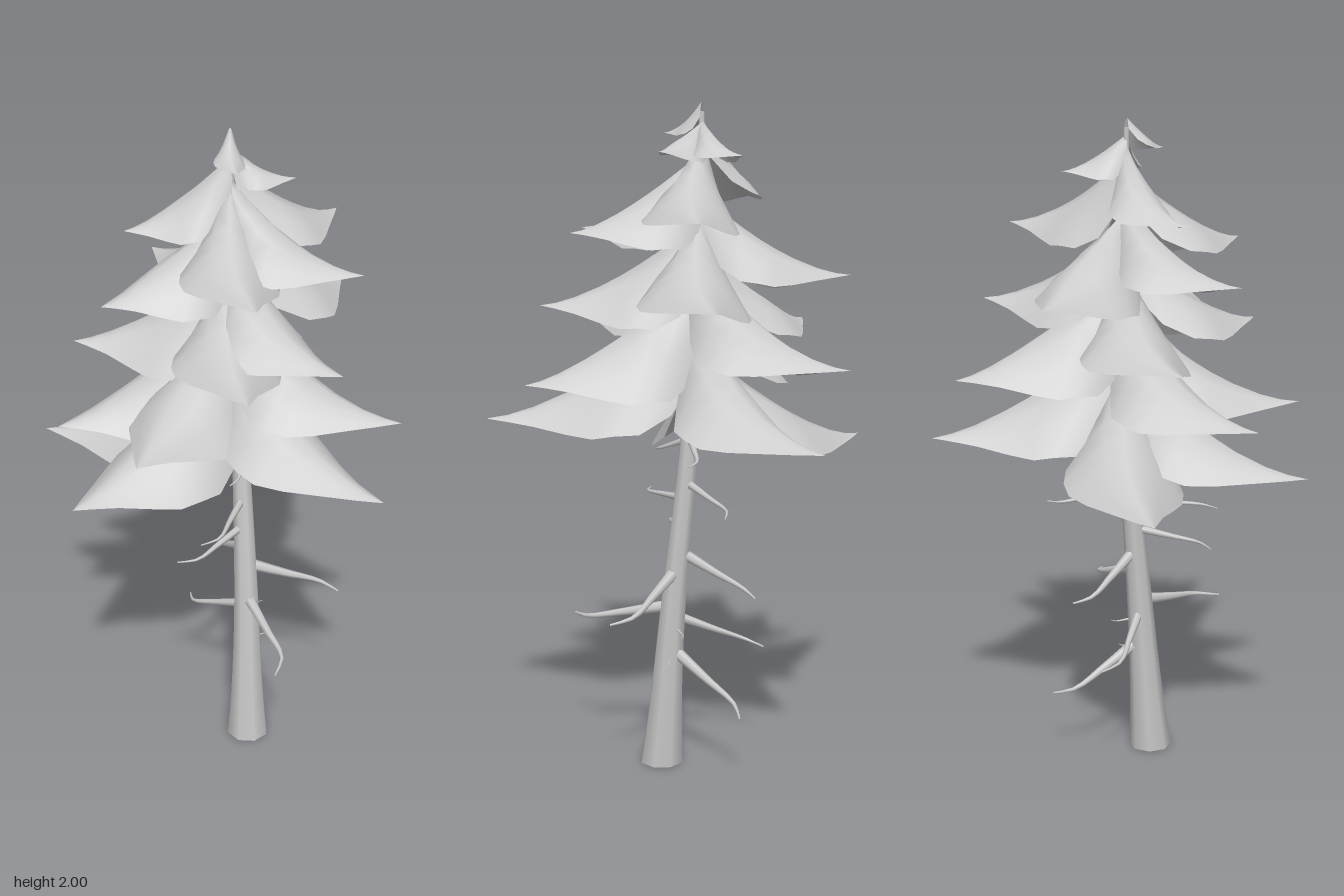
import * as THREE from 'three';

const V = (x, y, z) => new THREE.Vector3(x, y, z);

// Centre line of the leaning trunk
const trunkCurve = new THREE.CatmullRomCurve3([
  V(0.08, 0, 0.075), V(0.085, 0.5, 0.035), V(0.08, 1.0, -0.015), V(0.065, 1.5, -0.04), V(0.052, 1.97, -0.045),
]);
const trunkAt = (y) => trunkCurve.getPoint(THREE.MathUtils.clamp(y / 1.97, 0, 1));

// Tube whose radius follows a function of its length
function taperedTube(curve, segments, sides, radius) {
  const geo = new THREE.TubeGeometry(curve, segments, 1, sides, false);
  const pos = geo.attributes.position;
  const p = V(0, 0, 0);
  for (let i = 0; i <= segments; i++) {
    const c = curve.getPointAt(i / segments);
    for (let j = 0; j <= sides; j++) {
      const k = i * (sides + 1) + j;
      p.fromBufferAttribute(pos, k).sub(c).multiplyScalar(radius(i / segments)).add(c);
      pos.setXYZ(k, p.x, p.y, p.z);
    }
  }
  return geo;
}

// Drooping, tent-shaped bough: a concave ridge, sides hanging lower on one flank, and a swept tip
const ROWS = [ // distance along bough, half width, hang of the sides
  [0, 0.045, 0.14], [0.13, 0.1, 0.185], [0.28, 0.15, 0.17], [0.4, 0.155, 0.135],
  [0.5, 0.145, 0.115], [0.62, 0.11, 0.08], [0.78, 0.06, 0.036], [0.9, 0.028, 0.012], [1, 0, 0],
];
const COLS = 6;
function boughGeometry(tip, rise) {
  const root = trunkAt(tip.y + rise);
  root.y = tip.y + rise;
  const dir = V(tip.x - root.x, 0, tip.z - root.z);
  const reach = dir.length(), scale = Math.min(reach / 0.45, 1.12);
  dir.normalize();
  const side = V(-dir.z, 0, dir.x);
  const verts = [], index = [];
  ROWS.forEach(([t, w, hang], i) => {
    const bow = 0.035 * Math.sin(Math.PI * t) * scale;
    for (let j = 0; j <= COLS; j++) {
      const s = (j / COLS) * 2 - 1;
      const droop = hang * scale * (s < 0 ? 1.15 : 0.85) * Math.pow(Math.abs(s), 1.6);
      const p = root.clone().addScaledVector(dir, t * reach).addScaledVector(side, s * w * scale + bow);
      p.y = tip.y + rise * Math.pow(1 - t, 1.6) - droop;
      verts.push(p.x, p.y, p.z);
      if (i < ROWS.length - 1 && j < COLS) {
        const a = i * (COLS + 1) + j, b = a + COLS + 1;
        index.push(a, a + 1, b, a + 1, b + 1, b);
      }
    }
  });
  const geo = new THREE.BufferGeometry();
  geo.setAttribute('position', new THREE.Float32BufferAttribute(verts, 3));
  geo.setIndex(index);
  geo.computeVertexNormals();
  return geo;
}

export function createModel() {
  const model = new THREE.Group();
  model.name = 'coniferTree';
  const grey = new THREE.MeshStandardMaterial({ color: 0xcccccc, side: THREE.DoubleSide });
  grey.name = 'lightGrey';
  const add = (parent, name, geo) => {
    const mesh = new THREE.Mesh(geo, grey);
    mesh.name = name;
    parent.add(mesh);
    return mesh;
  };

  // Trunk, flared at the foot and cut flat on the ground
  const trunkGeo = taperedTube(trunkCurve, 24, 8, (t) => 0.008 + 0.04 * (1 - t) + 0.02 * Math.exp(-t * 9));
  const tp = trunkGeo.attributes.position;
  for (let j = 0; j <= 8; j++) tp.setY(j, 0);
  add(model, 'trunk', trunkGeo);
  const foot = add(model, 'trunkBase', new THREE.CircleGeometry(0.066, 8).rotateX(Math.PI / 2));
  foot.position.set(0.08, 0.001, 0.075);

  // Bare lower branches with hooked ends: root height, tip x y z, thickness
  const branches = new THREE.Group();
  branches.name = 'bareBranches';
  model.add(branches);
  [
    [0.37, 0.21, 0.225, -0.22, 0.02],
    [0.47, -0.02, 0.37, -0.22, 0.016],
    [0.5, 0.06, 0.44, 0.37, 0.02],
    [0.61, 0.36, 0.52, 0.125, 0.02],
    [0.67, 0.1, 0.56, -0.23, 0.018],
    [0.74, -0.16, 0.72, 0.1, 0.014],
    [0.83, -0.11, 0.82, 0.18, 0.013],
    [0.88, 0.26, 0.84, -0.19, 0.014],
    [1.02, 0.26, 0.98, -0.08, 0.014],
    [1.01, 0.0, 0.97, 0.12, 0.012],
    [1.03, 0.0, 1.02, -0.1, 0.01],
    [0.34, 0.18, 0.33, 0.03, 0.005],
    [0.44, 0.16, 0.43, -0.02, 0.006],
  ].forEach(([h, x, y, z, r]) => {
    const a = trunkAt(h), b = V(x, y, z);
    const hook = V(b.z - a.z, 0, a.x - b.x).multiplyScalar(0.12);
    const mid = a.clone().lerp(b, 0.45).addScaledVector(hook, 0.6);
    const late = a.clone().lerp(b, 0.8).add(hook);
    mid.y -= (a.y - b.y) * 0.05;
    late.y -= (a.y - b.y) * 0.06;
    const curve = new THREE.CatmullRomCurve3([a, mid, late, b]);
    add(branches, 'bareBranch', taperedTube(curve, 10, 6, (t) => r * (1 - 0.85 * t)));
  });

  // Foliage: the tip of every bough, lowest tier first, with an optional rise
  const foliage = new THREE.Group();
  foliage.name = 'foliage';
  model.add(foliage);
  [
    [-0.435, 0.97, -0.4], [-0.485, 1.0, 0.16], [0.395, 1.075, -0.515], [0.305, 1.09, 0.535],
    [-0.47, 1.17, -0.035], [-0.33, 1.18, 0.29], [0.435, 1.22, 0.345], [0.235, 1.28, -0.54],
    [-0.37, 1.34, -0.23], [-0.045, 1.38, 0.4], [0.23, 1.42, 0.39], [0.485, 1.45, -0.24],
    [-0.06, 1.51, -0.46], [-0.345, 1.55, 0.02], [-0.01, 1.63, 0.36], [0.345, 1.64, 0.24],
    [0.43, 1.68, -0.175], [-0.245, 1.72, -0.09, 0.2],
    [0.15, 1.85, -0.205, 0.1], [0.225, 1.86, 0.02, 0.08], [0.03, 1.91, 0.08, 0.09],
  ].forEach(([x, y, z, rise]) => {
    const tip = V(x, y, z);
    const axis = trunkAt(y + 0.2);
    const reach = Math.hypot(x - axis.x, z - axis.z);
    add(foliage, 'bough', boughGeometry(tip, rise ?? reach * 0.53));
  });
  return model;
}
